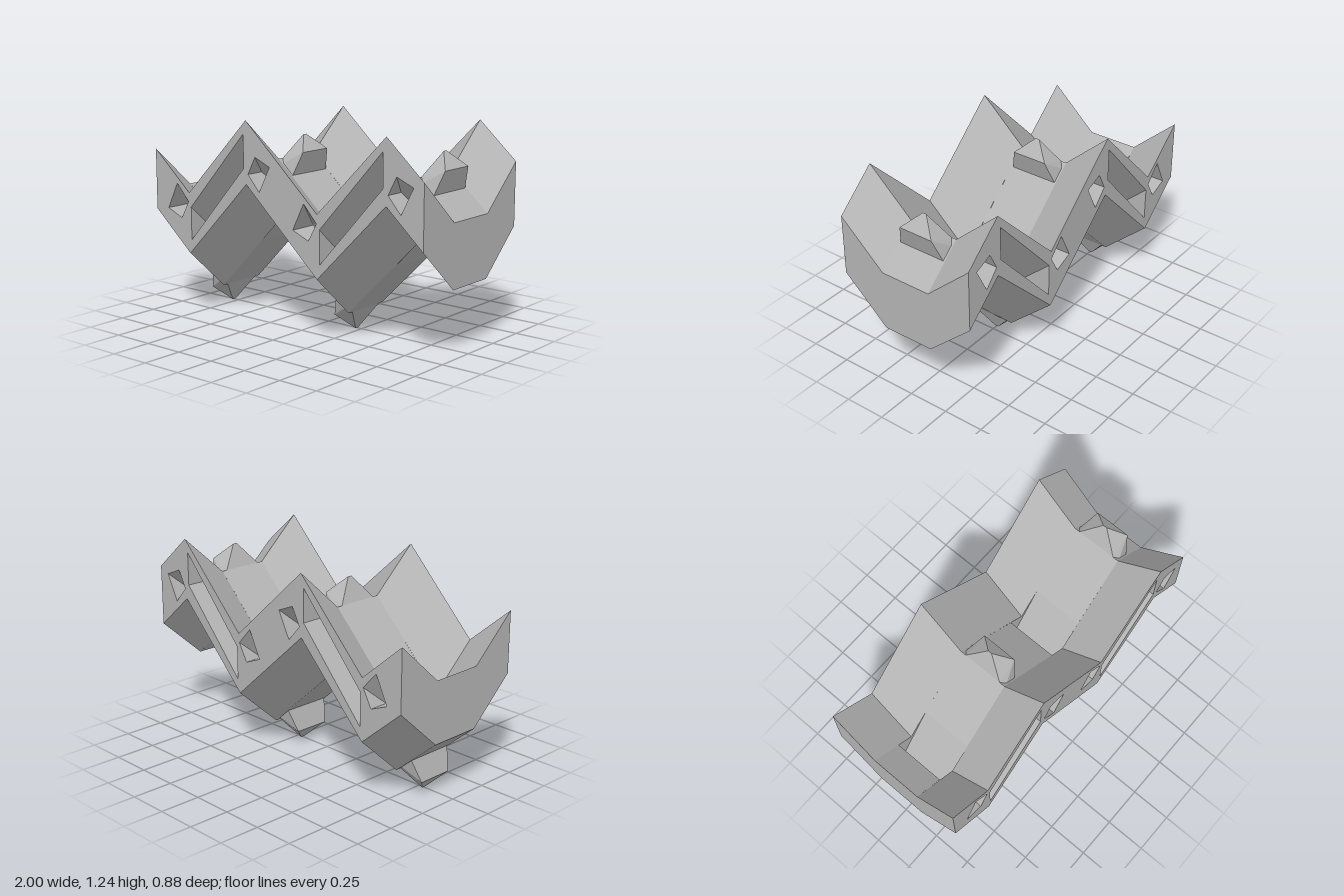
import * as THREE from 'three';
import { ConvexGeometry } from 'three/addons/geometries/ConvexGeometry.js';

const THICK = 0.37, DROP = 0.255, OUTER = 0.44, INNER = 0.16;

// Zigzag ridge line along x at the outer edge
const ridge = [[-1, 1], [-0.72, 0.76], [-0.25, 1.235], [0.28, 0.76], [0.755, 1.235], [1, 1.02]];
const under = ridge.map(([x, y]) => [x, y - THICK]);
const valleys = [1, 3], peaks = [2, 4];

// Socket outline relative to a valley, left to right
const socket = [[-0.1, 0.088], [-0.145, -0.045], [-0.065, -0.135], [0.14, 0.141]];
const socketAt = ([x, y], s) => {
  const pts = socket.map(([u, v]) => [x + s * u, y + s * v]);
  return s < 0 ? pts.reverse() : pts;
};

// Flat-faced geometry from a list of convex polygons
function fromPolys(polys) {
  const pos = [];
  for (const p of polys)
    for (let i = 1; i < p.length - 1; i++) pos.push(...p[0], ...p[i], ...p[i + 1]);
  const g = new THREE.BufferGeometry();
  g.setAttribute('position', new THREE.Float32BufferAttribute(pos, 3));
  g.computeVertexNormals();
  return g;
}

// Sweep a closed clockwise loop from a front z to a back z, lowering each end
function sweep(loop, zF, dropF, zB, dropB) {
  return fromPolys(loop.map(([x0, y0], i) => {
    const [x1, y1] = loop[(i + 1) % loop.length];
    return [[x0, y0 - dropF, zF], [x1, y1 - dropF, zF], [x1, y1 - dropB, zB], [x0, y0 - dropB, zB]];
  }));
}

// Mirror a geometry front to back, keeping faces outward
function mirrorZ(geo) {
  const g = geo.index ? geo.toNonIndexed() : geo.clone();
  const p = g.attributes.position, pos = [];
  for (let i = 0; i < p.count; i += 3)
    for (const k of [i, i + 2, i + 1]) pos.push(p.getX(k), p.getY(k), -p.getZ(k));
  const out = new THREE.BufferGeometry();
  out.setAttribute('position', new THREE.Float32BufferAttribute(pos, 3));
  out.computeVertexNormals();
  return out;
}

const toShape = (pts) => new THREE.Shape(pts.map(([x, y]) => new THREE.Vector2(x, y)));

// Pocket mouths: top left, top right, bottom right, bottom left
const pocketSet = [
  [[-0.82, 0.807], [-0.727, 0.706], [-0.786, 0.6], [-0.9, 0.647]],
  [[-0.705, 0.675], [-0.27, 1.155], [-0.27, 0.955], [-0.705, 0.475]],
  [[-0.18, 1.03], [-0.07, 0.984], [-0.15, 0.829], [-0.235, 0.925]],
];
const pockets = [0, 1.003].flatMap((dx) => pocketSet.map((q) => q.map(([x, y]) => [x + dx, y])));

// Wedge pocket: slanted roof running inward and down to a deep lower edge
function pocketGeometry([tl, tr, br, bl]) {
  const at = ([x, y], d = 0) => [x, y, OUTER - d];
  const TL = at(tl), TR = at(tr), BR = at(br), BL = at(bl);
  const BRd = at(br, (tr[1] - br[1]) * 1.1), BLd = at(bl, (tl[1] - bl[1]) * 1.1);
  return fromPolys([[TL, BLd, BRd, TR], [BL, BR, BRd, BLd], [TL, BL, BLd], [TR, BRd, BR]]);
}

// Faceted locking tooth, mirrored through its corner for the underside
function toothGeometry(s) {
  const half = [[0, 0, 0.125], [0.03, -0.027, 0.15], [0.1, -0.09, 0.15], [0.145, 0.045, 0.11], [0.065, 0.135, 0.012]];
  return new ConvexGeometry(half.flatMap(([x, y, z]) =>
    [new THREE.Vector3(s * x, s * y, z), new THREE.Vector3(s * x, s * y, -z)]));
}

export function createModel() {
  const model = new THREE.Group();
  model.name = 'zigzagBlock';
  const grey = new THREE.MeshStandardMaterial({ color: 0xb4b4b4, side: THREE.DoubleSide });
  grey.name = 'grey';
  const add = (geo, name) => {
    const m = new THREE.Mesh(geo, grey);
    m.name = name;
    model.add(m);
    return m;
  };

  // Sloping wings at front and back
  const plain = [...ridge, ...[...under].reverse()];
  const wing = sweep(plain, OUTER, 0, INNER, DROP);
  add(wing, 'frontWing');
  add(mirrorZ(wing), 'backWing');

  // Central trough with sockets in the valleys and under the peaks
  const top = ridge.flatMap((p, i) => (valleys.includes(i) ? socketAt(p, 1) : [p]));
  const bottom = under.flatMap((p, i) => (peaks.includes(i) ? socketAt(p, -1) : [p]));
  add(sweep([...top, ...bottom.reverse()], INNER, DROP, -INNER, DROP), 'trough');

  // Socket side walls
  const corners = [...valleys.map((i) => [ridge[i], 1]), ...peaks.map((i) => [under[i], -1])];
  for (const [p, s] of corners) {
    const wall = new THREE.ShapeGeometry(toShape([p, ...socketAt(p, s)]));
    wall.translate(0, -DROP, -INNER);
    add(wall, 'socketBackWall');
    add(mirrorZ(wall), 'socketFrontWall');
  }

  // Flat sides with pocket openings
  const side = toShape(plain);
  for (const q of pockets) side.holes.push(toShape(q));
  const sideGeo = new THREE.ShapeGeometry(side);
  sideGeo.translate(0, 0, OUTER);
  add(sideGeo, 'frontSide');
  add(mirrorZ(sideGeo), 'backSide');
  for (const q of pockets) {
    const g = pocketGeometry(q);
    add(g, 'frontPocket');
    add(mirrorZ(g), 'backPocket');
  }

  // Teeth on the peaks and beneath the valleys
  for (const i of peaks) add(toothGeometry(1), 'upperTooth').position.set(ridge[i][0], ridge[i][1] - DROP, 0);
  for (const i of valleys) add(toothGeometry(-1), 'lowerTooth').position.set(under[i][0], under[i][1] - DROP, 0);

  return model;
}
